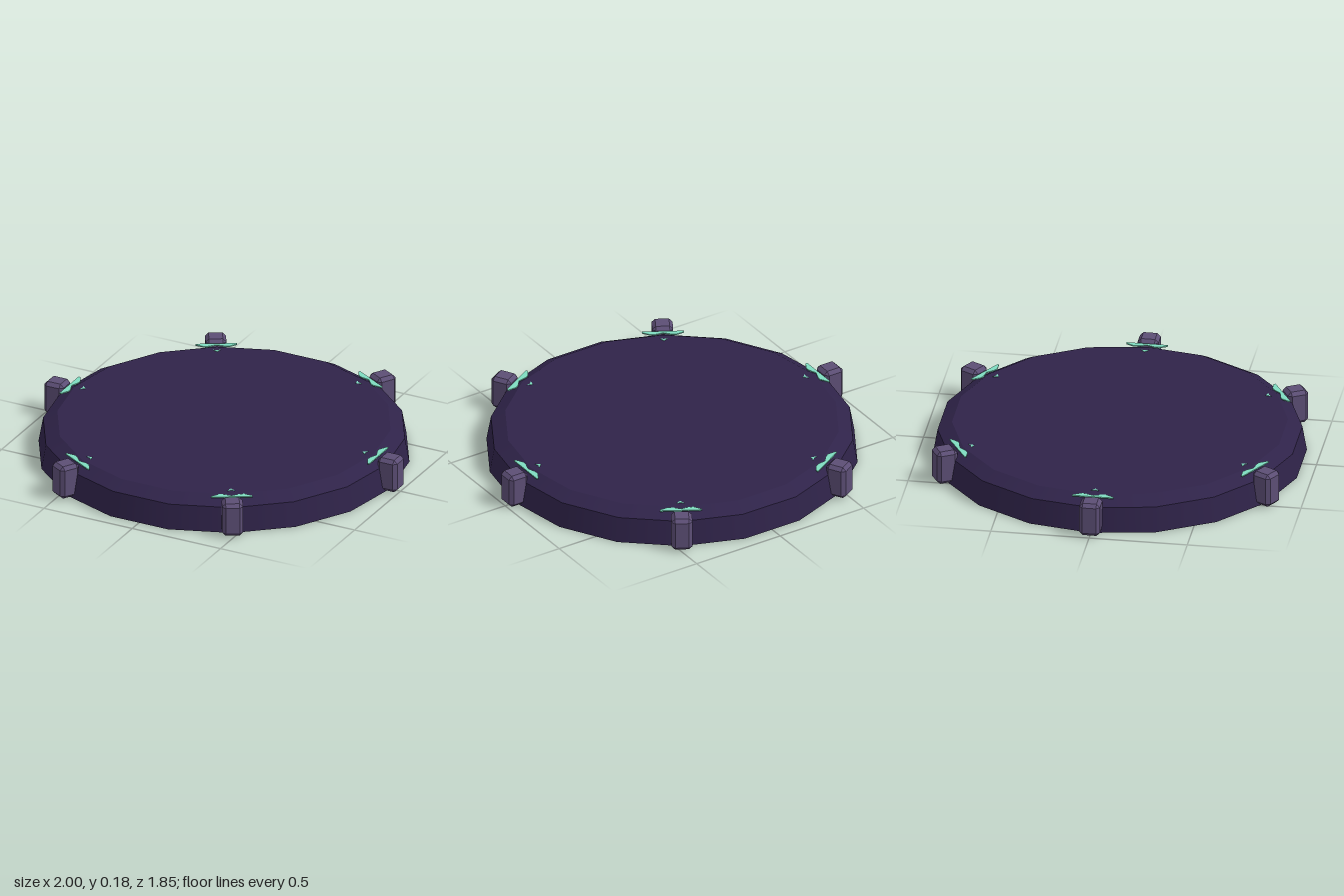
import * as THREE from 'three';
import { ConvexGeometry } from 'three/addons/geometries/ConvexGeometry.js';

const SIDES = 18;

// Box with every edge cut off by b
function chamferedBox(w, h, d, b) {
  const half = [w / 2, h / 2, d / 2];
  const points = [];
  for (const sx of [-1, 1]) for (const sy of [-1, 1]) for (const sz of [-1, 1]) {
    for (let axis = 0; axis < 3; axis++) {
      const p = half.map((s, i) => (i === axis ? s : s - b));
      points.push(new THREE.Vector3(p[0] * sx, p[1] * sy, p[2] * sz));
    }
  }
  return new ConvexGeometry(points);
}

// Thin horizontal plate from an outline of [x, z] points
function plate(outline, thickness) {
  const shape = new THREE.Shape(outline.map(([x, z]) => new THREE.Vector2(x, -z)));
  return new THREE.ExtrudeGeometry(shape, { depth: thickness, bevelEnabled: false }).rotateX(-Math.PI / 2);
}

export function createModel() {
  const model = new THREE.Group();
  const stone = new THREE.MeshStandardMaterial({ name: 'dark purple stone', color: 0x2f2349 });
  const clasp = new THREE.MeshStandardMaterial({ name: 'pale purple stone', color: 0x5c4e75 });
  const glow = new THREE.MeshStandardMaterial({ name: 'mint inlay', color: 0x7edcc0 });

  const add = (parent, name, geometry, material, y = 0) => {
    const mesh = new THREE.Mesh(geometry, material);
    mesh.name = name;
    mesh.position.y = y;
    parent.add(mesh);
    return mesh;
  };

  // Disc: sloping wall below, chamfered rim above
  const start = Math.PI / SIDES;
  add(model, 'discBase', new THREE.CylinderGeometry(0.917, 0.94, 0.13, SIDES, 1, false, start), stone, 0.065);
  add(model, 'discRim', new THREE.CylinderGeometry(0.845, 0.917, 0.041, SIDES, 1, false, start), stone, 0.1505);

  // Six posts around the edge, each with an inlay beside it
  const postGeometry = chamferedBox(0.11, 0.178, 0.106, 0.018);
  const barGeometry = plate([
    [0.878, 0.105], [0.878, -0.105], [0.868, -0.105], [0.846, -0.065],
    [0.848, -0.04], [0.863, 0], [0.848, 0.04], [0.846, 0.065], [0.868, 0.105],
  ], 0.006);
  const tipGeometry = plate([[0.785, 0], [0.808, 0.02], [0.802, 0], [0.808, -0.02]], 0.004);
  for (let i = 0; i < 6; i++) {
    const station = new THREE.Group();
    station.name = `edgeStation${i + 1}`;
    station.rotation.y = (i * Math.PI) / 3;
    add(station, 'post', postGeometry, clasp, 0.095).position.x = 0.945;
    add(station, 'inlayBar', barGeometry, glow, 0.167);
    add(station, 'inlayTip', tipGeometry, glow, 0.169);
    model.add(station);
  }
  return model;
}
